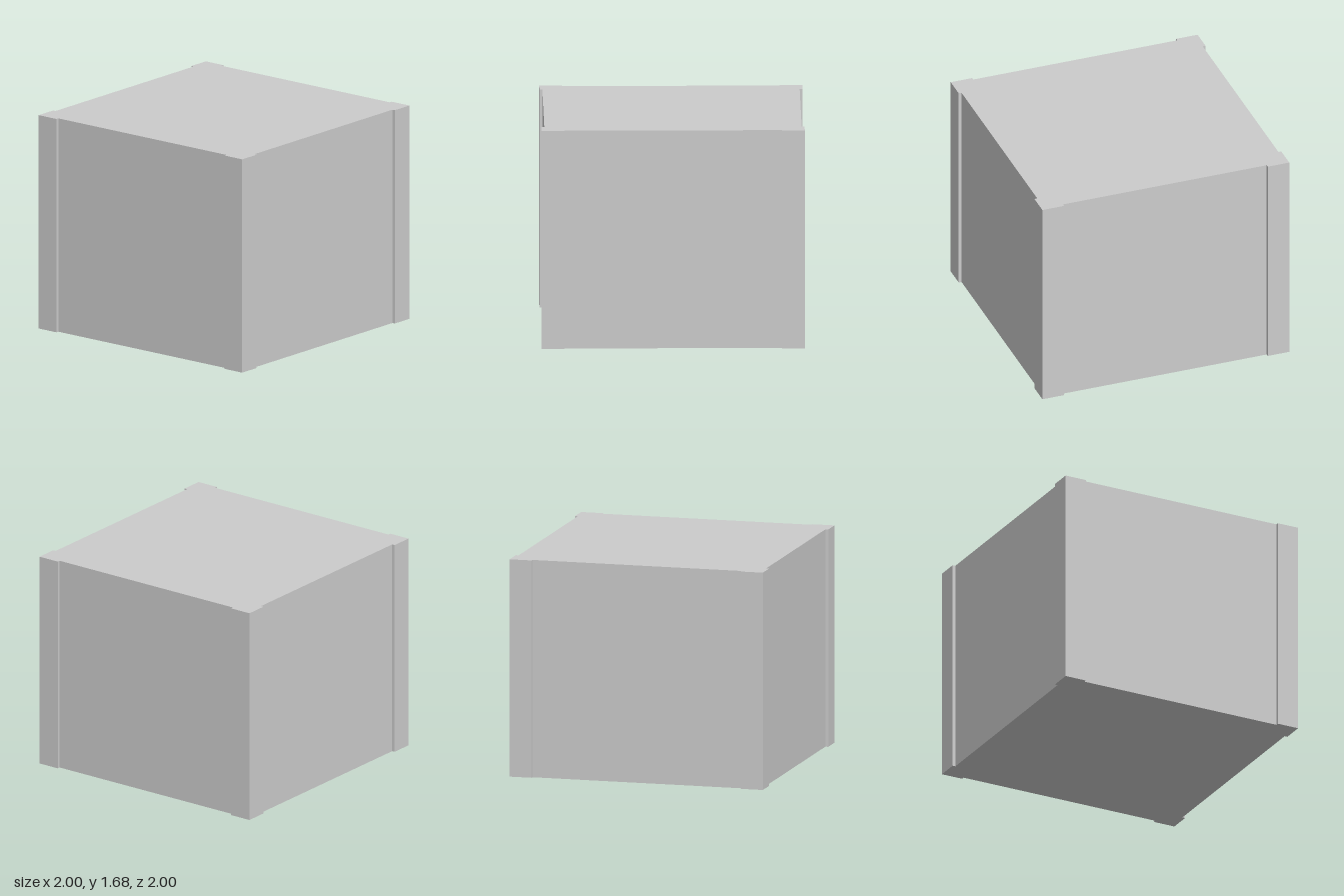
import * as THREE from 'three';

const HALF = 1;        // outer face of the corner posts
const PANEL = 0.977;   // recessed face of the side panels
const POST = 0.826;    // inner edge of the corner posts
const HEIGHT = 1.68;

export function createModel() {
  const group = new THREE.Group();
  group.name = 'crate';

  // Plan outline: one corner post, turned to each of the four corners
  const corner = [[PANEL, -POST], [HALF, -POST], [HALF, -HALF], [POST, -HALF], [POST, -PANEL]];
  const outline = [];
  for (let i = 0; i < 4; i++) {
    const turn = -i * Math.PI / 2;
    for (const [x, y] of corner) {
      outline.push(new THREE.Vector2(x, y).rotateAround(new THREE.Vector2(), turn));
    }
  }

  // Solid body with raised corner posts, extruded upwards
  const geometry = new THREE.ExtrudeGeometry(new THREE.Shape(outline), {
    depth: HEIGHT, bevelEnabled: false,
  });
  geometry.rotateX(-Math.PI / 2);

  const body = new THREE.Mesh(geometry, new THREE.MeshStandardMaterial({ color: 0xcccccc }));
  body.name = 'bodyWithCornerPosts';
  group.add(body);
  return group;
}
